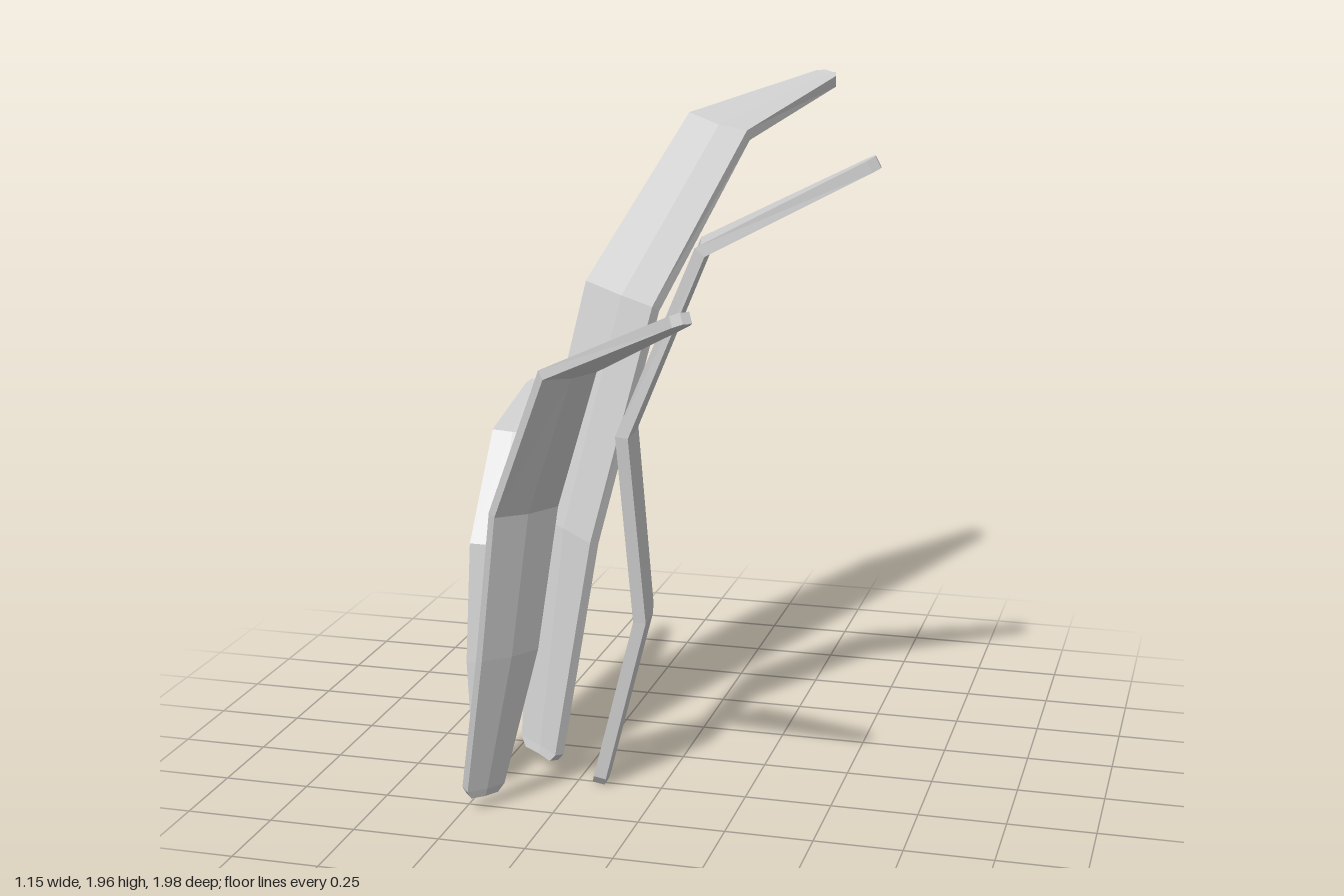
import * as THREE from 'three';

// Each blade: across = direction of its width, thick = its thickness,
// stations = [x, y, z, width] along its spine from root to tip.
const BLADES = [
  { name: 'tallRearBlade', across: [0.85, -0.14, 0.5], thick: 0.035, stations: [
    [-0.39, 0.07, 0.16, 0.15], [-0.35, 0.71, 0.045, 0.26], [-0.22, 1.38, -0.13, 0.285],
    [-0.02, 1.84, -0.5, 0.245], [0.215, 1.945, -0.95, 0.085]] },
  { name: 'leftBlade', across: [0.15, 0, 0.98], thick: 0.036, stations: [
    [-0.185, 0.04, 0.22, 0.14], [-0.07, 0.52, 0.185, 0.19], [-0.11, 1.07, 0.21, 0.225],
    [0.095, 1.585, 0.15, 0.185], [0.54, 1.812, 0.045, 0.06]] },
  { name: 'frontBlade', across: [-0.65, 0, 0.76], thick: 0.03, stations: [
    [-0.45, 0.08, 0.515, 0.12], [-0.355, 0.5, 0.56, 0.18], [-0.285, 0.93, 0.605, 0.2],
    [-0.12, 1.345, 0.72, 0.165], [0.245, 1.545, 0.965, 0.055]] },
  { name: 'shortRightBlade', across: [1, 0, 0], thick: 0.025, stations: [
    [-0.5, 0.07, 0.31, 0.1], [-0.512, 0.36, 0.28, 0.125], [-0.503, 0.7, 0.23, 0.143],
    [-0.51, 0.985, 0.03, 0.12], [-0.533, 1.065, -0.24, 0.045]] }
];

function bladeGeometry({ across, thick, stations }) {
  const W0 = new THREE.Vector3(...across).normalize();
  const pts = stations.map(s => new THREE.Vector3(s[0], s[1], s[2]));
  const widths = stations.map(s => s[3]);

  // Short narrowed ends blunt the root and the tip
  const last = pts.length - 1;
  const rootDir = pts[0].clone().sub(pts[1]).normalize();
  const tipDir = pts[last].clone().sub(pts[last - 1]).normalize();
  pts.unshift(pts[0].clone().addScaledVector(rootDir, 0.025));
  widths.unshift(widths[0] * 0.72);
  pts.push(pts[last + 1].clone().addScaledVector(tipDir, 0.025));
  widths.push(widths[last + 1] * 0.5);

  // Six-cornered, slightly folded cross-sections
  const positions = [];
  pts.forEach((p, i) => {
    const before = p.clone().sub(pts[Math.max(i - 1, 0)]).normalize();
    const after = pts[Math.min(i + 1, pts.length - 1)].clone().sub(p).normalize();
    const T = before.add(after).normalize();
    const N = T.clone().cross(W0).normalize();
    const W = W0.clone();
    const h = widths[i] / 2, t = thick / 2, fold = widths[i] * 0.05;
    for (const [u, v] of [[-h, -t], [0, fold - t], [h, -t], [h, t], [0, fold + t], [-h, t]]) {
      const q = p.clone().addScaledVector(W, u).addScaledVector(N, v);
      positions.push(q.x, q.y, q.z);
    }
  });

  // Walls between sections, then the two end caps
  const index = [];
  const rings = pts.length;
  for (let i = 0; i < rings - 1; i++) {
    for (let j = 0; j < 6; j++) {
      const a = i * 6 + j, b = i * 6 + (j + 1) % 6;
      index.push(a, b, b + 6, a, b + 6, a + 6);
    }
  }
  const top = (rings - 1) * 6;
  for (const [a, b, c] of [[0, 1, 5], [1, 4, 5], [1, 2, 4], [2, 3, 4]]) {
    index.push(a, c, b, top + a, top + b, top + c);
  }

  const geometry = new THREE.BufferGeometry();
  geometry.setAttribute('position', new THREE.Float32BufferAttribute(positions, 3));
  geometry.setIndex(index);
  const flat = geometry.toNonIndexed();
  flat.computeVertexNormals();
  return flat;
}

export function createModel() {
  const group = new THREE.Group();
  group.name = 'grassTuft';
  const material = new THREE.MeshStandardMaterial({ color: 0xcccccc, flatShading: true });
  for (const blade of BLADES) {
    const mesh = new THREE.Mesh(bladeGeometry(blade), material);
    mesh.name = blade.name;
    group.add(mesh);
  }
  return group;
}
